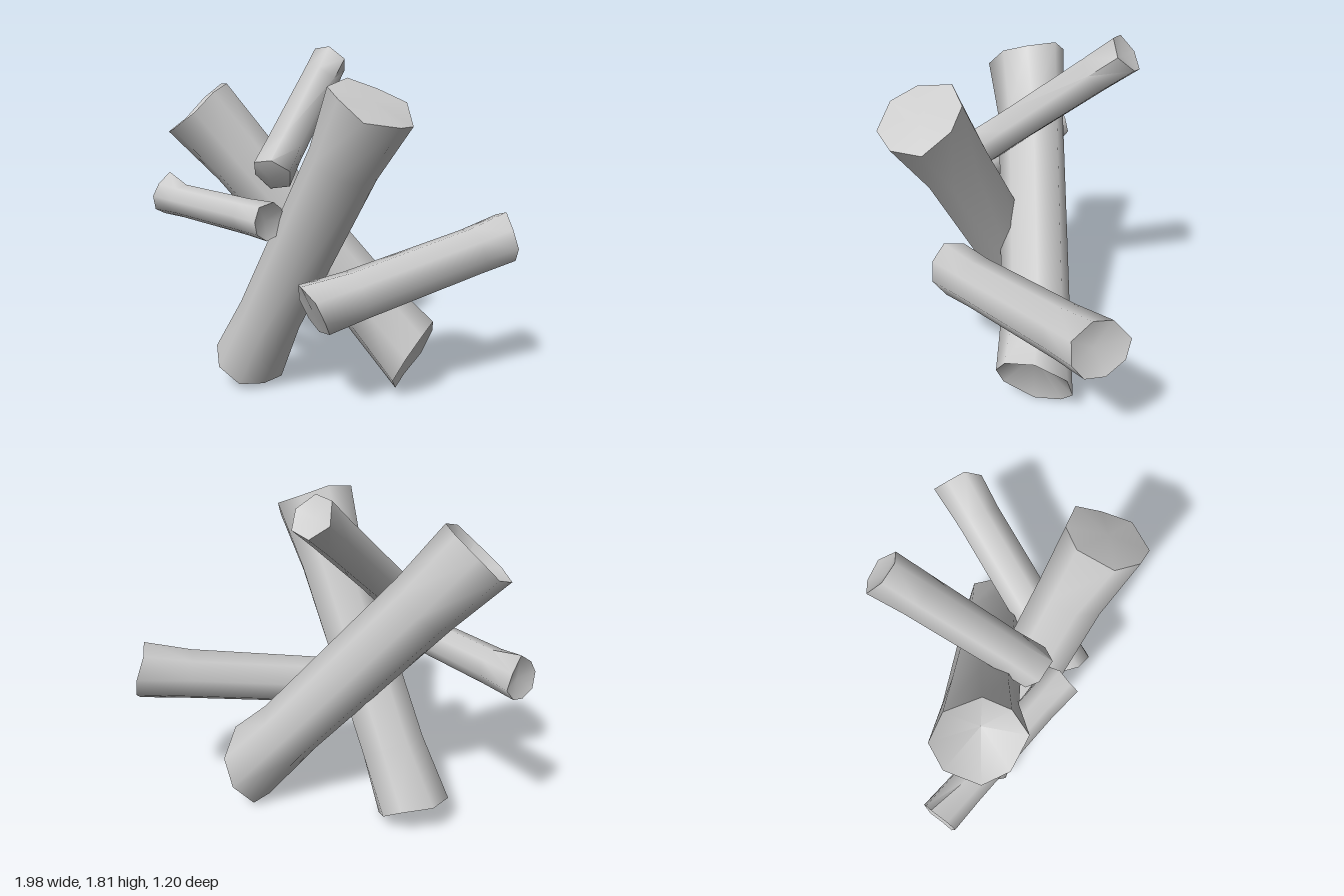
import * as THREE from 'three';
import { toCreasedNormals } from 'three/addons/utils/BufferGeometryUtils.js';

const material = new THREE.MeshStandardMaterial({ color: 0xcccccc });
const SQUARE_CUTS = [[0, 0], [0, 0]];

// small seeded random, -1..1
function seeded(seed) {
  let s = seed * 7919 + 17;
  return () => {
    s = (s * 16807) % 2147483647;
    return (s / 2147483647) * 2 - 1;
  };
}

// One roughly cut log from point a to point b.
// r: body radius, endR: radius of the two flared ends, dents: hollow depth of each cut,
// tilts: [x, z] slope of each cut, spur: [end (0 or 1), corner, stretch],
// bow: sideways shift of the body between its ends, roll: turn about its own axis
function makeLog({ name, a, b, r, endR, dents, tilts = SQUARE_CUTS, spur, bow = 0, roll = 0, sides = 8, seed }) {
  const from = new THREE.Vector3(...a);
  const axis = new THREE.Vector3(...b).sub(from);
  const length = axis.length();
  const rand = seeded(seed);
  const flare = Math.min(0.36, length * 0.2);
  const rings = [
    { y: 0, r: endR[0], end: 0 },
    { y: flare, r },
    { y: length - flare, r },
    { y: length, r: endR[1], end: 1 },
  ];

  // cross-sections along +y, irregular at the cuts
  const pos = [];
  for (const ring of rings) {
    const cut = ring.end !== undefined;
    for (let j = 0; j < sides; j++) {
      const t = roll + (j / sides) * Math.PI * 2 + (cut ? rand() * 0.08 : 0);
      let rad = ring.r * (1 + rand() * (cut ? 0.05 : 0.02));
      if (cut && spur && spur[0] === ring.end && spur[1] === j) rad *= spur[2];
      const x = Math.cos(t) * rad;
      const z = -Math.sin(t) * rad;
      if (cut) {
        const [tx, tz] = tilts[ring.end];
        pos.push(x, ring.y + rand() * r * 0.1 + tx * x + tz * z, z);
      } else {
        pos.push(x, ring.y, z + bow);
      }
    }
  }
  // centres of the two cuts
  const c0 = rings.length * sides;
  pos.push(0, dents[0], 0, 0, length - dents[1], 0);

  const index = [];
  const last = (rings.length - 1) * sides;
  for (let j = 0; j < sides; j++) {
    const k = (j + 1) % sides;
    for (let i = 0; i < last; i += sides) {
      index.push(i + j, i + k, i + sides + k, i + j, i + sides + k, i + sides + j);
    }
    index.push(c0, k, j, c0 + 1, last + j, last + k);
  }

  const geometry = new THREE.BufferGeometry();
  geometry.setAttribute('position', new THREE.Float32BufferAttribute(pos, 3));
  geometry.setIndex(index);
  const mesh = new THREE.Mesh(toCreasedNormals(geometry, 1.1), material);
  mesh.name = name;
  mesh.position.copy(from);
  mesh.quaternion.setFromUnitVectors(new THREE.Vector3(0, 1, 0), axis.normalize());
  return mesh;
}

export function createModel() {
  const group = new THREE.Group();
  group.name = 'logPile';
  const logs = [
    // two thick logs crossing
    { name: 'frontLog', a: [-0.465, 0.105, -0.13], b: [0.25, 1.545, 0.41], r: 0.172, endR: [0.196, 0.208], dents: [0.06, -0.01], bow: -0.018, seed: 1 },
    { name: 'backLog', a: [-0.69, 1.49, -0.085], b: [0.445, 0.18, -0.11], r: 0.175, endR: [0.203, 0.2], dents: [0.13, 0.13], tilts: [[0, 0.2], [0.35, -0.3]], bow: -0.015, seed: 2 },
    // thinner branches leaning on them
    { name: 'rightBranch', a: [-0.035, 0.545, 0.31], b: [0.92, 0.785, -0.36], r: 0.13, endR: [0.142, 0.14], dents: [0, 0.05], tilts: [[0.16, -0.11], [-0.14, -0.21]], spur: [1, 5, 1.12], seed: 3 },
    { name: 'upperBranch', a: [-0.265, 1.18, 0.135], b: [-0.07, 1.725, -0.525], r: 0.1, endR: [0.105, 0.104], dents: [-0.03, 0.02], roll: Math.PI / 6, sides: 6, seed: 4 },
    { name: 'leftBranch', a: [-0.95, 0.985, -0.265], b: [-0.25, 0.97, 0.26], r: 0.09, endR: [0.094, 0.097], dents: [0.03, 0.04], spur: [0, 3, 1.5], seed: 5 },
  ];
  for (const log of logs) group.add(makeLog(log));
  return group;
}
